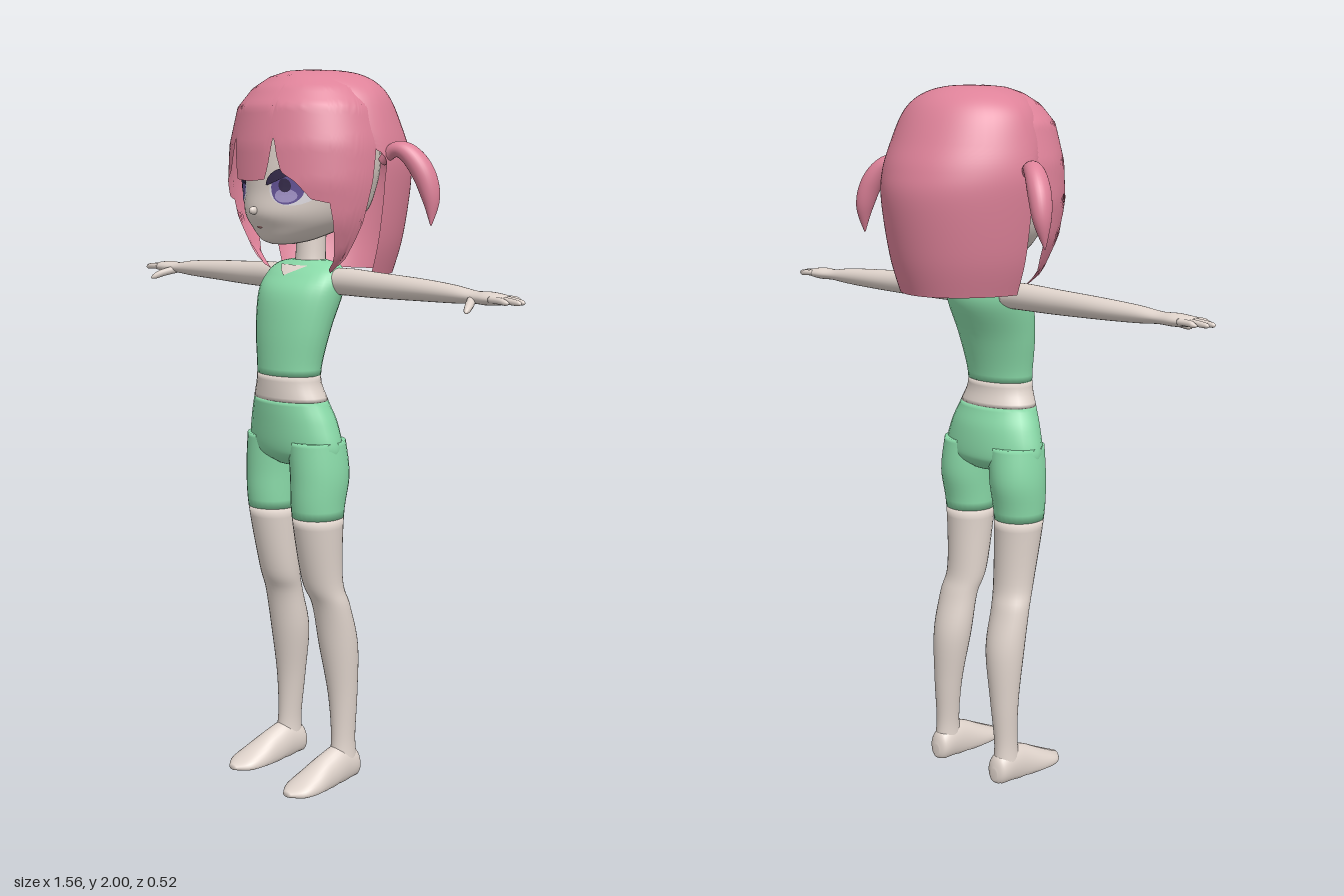
import * as THREE from 'three';

const mat = (name, color) => {
  const m = new THREE.MeshStandardMaterial({ color, side: THREE.DoubleSide });
  m.name = name;
  return m;
};
const rad = THREE.MathUtils.degToRad;

// Catmull-Rom blend of table rows at fractional index t
function at(rows, t) {
  const n = rows.length - 1, i = Math.min(Math.floor(t), n - 1), f = t - i;
  const p = k => rows[Math.max(0, Math.min(n, k))];
  return p(i).map((b, c) => {
    const a = p(i - 1)[c], d = p(i + 1)[c], e = p(i + 2)[c];
    return b + 0.5 * f * (d - a + f * (2 * a - 5 * b + 4 * d - e + f * (3 * (b - d) + e - a)));
  });
}

// Piecewise linear lookup by the first column
function lookup(table, x) {
  let i = 0;
  while (i < table.length - 2 && (x - table[i + 1][0]) * (table[1][0] - table[0][0]) > 0) i++;
  const a = table[i], b = table[i + 1], f = THREE.MathUtils.clamp((x - a[0]) / (b[0] - a[0]), 0, 1);
  return a.map((v, c) => v + (b[c] - v) * f);
}

// Surface from a grid of points; closed joins the last column to the first and caps both ends
function grid(nu, nv, fn, closed = false) {
  const pos = [], idx = [], cols = closed ? nu : nu + 1;
  for (let j = 0; j <= nv; j++) for (let i = 0; i < cols; i++) pos.push(...fn(i / nu, j / nv));
  for (let j = 0; j < nv; j++) for (let i = 0; i < nu; i++) {
    const a = j * cols + i, b = j * cols + (i + 1) % cols;
    idx.push(a, b, a + cols, b, b + cols, a + cols);
  }
  if (closed) for (const j of [0, nv]) {
    const c = [0, 0, 0], k = pos.length / 3;
    for (let i = 0; i < nu; i++) for (let d = 0; d < 3; d++) c[d] += pos[(j * nu + i) * 3 + d] / nu;
    pos.push(...c);
    for (let i = 0; i < nu; i++) {
      const a = j * nu + i, b = j * nu + (i + 1) % nu;
      idx.push(...(j ? [a, b, k] : [b, a, k]));
    }
  }
  // turn the faces outward
  if (closed) {
    const v = i => new THREE.Vector3().fromArray(pos, i * 3);
    let vol = 0;
    for (let i = 0; i < idx.length; i += 3) vol += v(idx[i]).dot(v(idx[i + 1]).cross(v(idx[i + 2])));
    if (vol < 0) idx.reverse();
  }
  const g = new THREE.BufferGeometry();
  g.setAttribute('position', new THREE.Float32BufferAttribute(pos, 3));
  g.setIndex(idx);
  g.computeVertexNormals();
  return g;
}

// Loft of elliptical rings; rows are [x, y, z, radiusA, radiusB], axis is the ring normal
function loft(rows, axis = 'y', from = 0, to = rows.length - 1, seg = 28) {
  return grid(seg, (to - from) * 6, (u, v) => {
    const t = from + (to - from) * v, [x, y, z, ra, rb] = at(rows, t);
    const a = Math.max(ra, 0.0005) * Math.cos(u * 2 * Math.PI), b = Math.max(rb, 0.0005) * Math.sin(u * 2 * Math.PI);
    if (axis === 'y') return [x + a, y, z + b];
    if (axis === 'x') return [x, y + b, z + a];
    if (axis === 'z') return [x + a, Math.max(0, y + b), z];
    const n = rows.length - 1, p = at(rows, Math.max(0, t - 0.02)), q = at(rows, Math.min(n, t + 0.02));
    const T = new THREE.Vector3(q[0] - p[0], q[1] - p[1], q[2] - p[2]).normalize();
    const U = new THREE.Vector3(0, 0, 1).cross(T).normalize(), V = T.clone().cross(U);
    return U.multiplyScalar(a).addScaledVector(V, b).add(new THREE.Vector3(x, y, z)).toArray();
  }, true);
}

// Thin plate that follows the front of a mesh; outline is a list of [x, y]
function plate(outline, target, lift) {
  const ray = new THREE.Raycaster(), n = outline.length;
  const c = [0, 1].map(k => outline.reduce((s, p) => s + p[k], 0) / n);
  target.updateMatrixWorld();
  return grid(n, 5, (u, v) => {
    const p = outline[Math.round(u * n) % n];
    const x = c[0] + (p[0] - c[0]) * v, y = c[1] + (p[1] - c[1]) * v;
    ray.set(new THREE.Vector3(x, y, 2), new THREE.Vector3(0, 0, -1));
    const hit = ray.intersectObject(target)[0];
    return [x, y, (hit ? hit.point.z : 0.12) + lift];
  });
}
const oval = (x, y, rx, ry, a0 = 0, a1 = 360) => Array.from({ length: 28 }, (_, i) => {
  const a = rad(a0 + (a1 - a0) * i / (a1 - a0 === 360 ? 28 : 27));
  return [x + rx * Math.cos(a), y + ry * Math.sin(a)];
});

export function createModel() {
  const root = new THREE.Group();
  const skin = mat('skin', 0xe0d4cc), hair = mat('hair', 0xde8299), cloth = mat('green cloth', 0x8adba9);
  const white = mat('eye white', 0xeeeaf0), iris = mat('iris purple', 0x66559a);
  const glow = mat('light iris', 0xa596cc), dark = mat('lash dark', 0x372c4c), lip = mat('lip', 0xa87878);
  const add = (name, geo, m) => {
    const mesh = new THREE.Mesh(geo, m);
    mesh.name = name;
    root.add(mesh);
    return mesh;
  };

  // Torso: top, bare waist and shorts share one profile
  const torso = [[0, 1.49, .05, .06, .04], [0, 1.478, .05, .115, .055], [0, 1.45, .065, .138, .075],
    [0, 1.4, .083, .141, .095], [0, 1.3, .11, .125, .085], [0, 1.18, .125, .105, .075],
    [0, 1.11, .118, .127, .082], [0, 1.05, .107, .152, .09], [0, .98, .1, .17, .09],
    [0, .95, .097, .15, .08], [0, .925, .095, .06, .05]];
  const top = add('top', loft(torso, 'y', 0, 5), cloth);
  add('waist', loft(torso, 'y', 5, 6), skin);
  add('shortsHips', loft(torso, 'y', 6, 10), cloth);
  add('neckline', plate([[-.055, 1.477], [-.028, 1.463], [0, 1.45], [.028, 1.463], [.055, 1.477], [0, 1.477]], top, .004), skin);
  add('neck', loft([[0, 1.45, .05, .05, .045], [0, 1.5, .045, .042, .042], [0, 1.6, .04, .04, .042]]), skin);

  // Head
  const head = add('head', loft([[0, 1.536, .14, .03, .035], [0, 1.548, .123, .07, .078], [0, 1.58, .085, .117, .135],
    [0, 1.62, .06, .147, .18], [0, 1.68, .045, .167, .19], [0, 1.75, .04, .183, .193],
    [0, 1.85, .04, .18, .18], [0, 1.93, .04, .13, .13], [0, 1.97, .04, .05, .05]], 'y', 0, 8, 48), skin);
  const nose = add('nose', new THREE.SphereGeometry(.011, 16, 12), skin);
  nose.position.set(0, 1.628, .245);
  nose.scale.set(.8, 1, 1.3);
  add('mouth', plate(oval(0, 1.583, .012, .003), head, .003), lip);

  // Back hair: wraps the back and closes over the crown; columns y, rx, rBack, rFront, half angle
  const back = [[1.45, .185, .2, .1, 90], [1.55, .215, .228, .1, 90], [1.7, .237, .25, .1, 90], [1.78, .24, .238, .12, 97],
    [1.85, .225, .208, .17, 180], [1.92, .2, .172, .17, 180], [1.96, .165, .14, .165, 180],
    [1.985, .115, .1, .14, 180], [1.997, .055, .055, .1, 180], [2, .002, .002, .01, 180]];
  add('backHair', grid(56, 54, (u, v) => {
    const [y, rx, rb, rf, half] = at(back, v * 9), a = rad((u * 2 - 1) * Math.min(half, 180)), c = Math.cos(a);
    return [rx * Math.sin(a), y, -.01 - (c > 0 ? rb * Math.pow(c, 1.2) : rf * c)];
  }), hair);

  // Fringe and side locks: a dome with a scalloped lower edge given by angle
  const dome = [[2, 0, 0], [1.995, .06, .06], [1.98, .11, .105], [1.95, .165, .145], [1.9, .207, .185], [1.8, .235, .205],
    [1.7, .24, .21], [1.6, .225, .2], [1.5, .18, .17], [1.46, .13, .15]];
  const edge = [[0, 1.705], [14, 1.71], [17, 1.76], [20, 1.83], [22, 1.78], [26, 1.73], [36, 1.705], [47, 1.66],
    [60, 1.65], [66, 1.56], [72, 1.47], [77, 1.46], [86, 1.55], [94, 1.7], [100, 1.8], [105, 1.86]];
  add('fringe', grid(140, 30, (u, v) => {
    const deg = (u * 2 - 1) * 105, low = lookup(edge, Math.abs(deg))[1], y = 2 - (2 - low) * v * v;
    const [, rx, rz] = lookup(dome, y);
    return [rx * Math.sin(rad(deg)), y, .05 + rz * Math.cos(rad(deg))];
  }), hair);

  for (const s of [1, -1]) {
    const side = s > 0 ? 'left' : 'right';
    const m = rows => rows.map(([x, ...r]) => [x * s, ...r]);

    // Eyes
    add(side + 'EyeWhite', plate(m(oval(.097, 1.686, .05, .044)), head, .002), white);
    add(side + 'Iris', plate(m(oval(.09, 1.689, .036, .044)), head, .004), iris);
    add(side + 'IrisGlow', plate(m(oval(.09, 1.668, .024, .018)), head, .006), glow);
    add(side + 'Pupil', plate(m(oval(.09, 1.695, .014, .018)), head, .007), dark);
    add(side + 'Lash', plate(m([...oval(.097, 1.69, .056, .05, 5, 172), ...oval(.097, 1.69, .05, .035, 172, 5)]), head, .008), dark);

    // Pigtail
    add(side + 'Pigtail', loft(m([[.215, 1.755, -.02, .012, .014], [.25, 1.787, -.035, .02, .022], [.285, 1.775, -.055, .026, .03],
      [.318, 1.725, -.075, .029, .033], [.336, 1.66, -.085, .022, .026], [.342, 1.59, -.08, .002, .002]]), 'path'), hair);

    // Arm with palm, fingers and thumb
    add(side + 'Arm', loft(m([[.1, 1.435, .05, .04, .035], [.16, 1.437, .048, .038, .037], [.28, 1.435, .045, .035, .034],
      [.43, 1.434, .041, .034, .029], [.55, 1.432, .043, .03, .023], [.62, 1.43, .045, .028, .016],
      [.67, 1.43, .045, .034, .017], [.71, 1.43, .046, .034, .013], [.722, 1.43, .046, .03, .008]]), 'x'), skin);
    [[.018, .752], [.036, .775], [.055, .78], [.073, .757]].forEach(([z, tip], i) =>
      add(side + 'Finger' + (i + 1), loft(m([[.695, 1.431, z, .008, .008], [.73, 1.43, z, .0085, .0085],
        [tip - .01, 1.427, z, .007, .007], [tip, 1.426, z, .002, .002]]), 'x', 0, 3, 12), skin));
    add(side + 'Thumb', loft(m([[.62, 1.426, .055, .012, .012], [.645, 1.415, .09, .011, .011],
      [.658, 1.404, .113, .008, .008], [.663, 1.399, .123, .002, .002]]), 'path', 0, 3, 12), skin);

    // Leg: shorts then bare leg on one profile
    const leg = m([[.088, 1, .1, .078, .083], [.097, .9, .096, .078, .086], [.0965, .785, .103, .0715, .074],
      [.094, .6, .085, .062, .056], [.104, .52, .06, .06, .05], [.107, .4, .035, .058, .055],
      [.115, .25, .025, .042, .043], [.12, .12, .027, .032, .037], [.122, .05, .03, .036, .045]]);
    add(side + 'ShortsLeg', loft(leg, 'y', 0, 2), cloth);
    add(side + 'Leg', loft(leg, 'y', 2, 8), skin);

    // Foot, flat on the ground
    add(side + 'Foot', loft(m([[.12, .025, -.025, .012, .018], [.12, .035, -.01, .033, .045], [.121, .04, .04, .04, .062],
      [.122, .025, .1, .045, .06], [.124, .012, .16, .051, .043], [.125, .008, .21, .045, .022],
      [.124, .007, .245, .014, .007]]), 'z'), skin);
  }
  return root;
}
